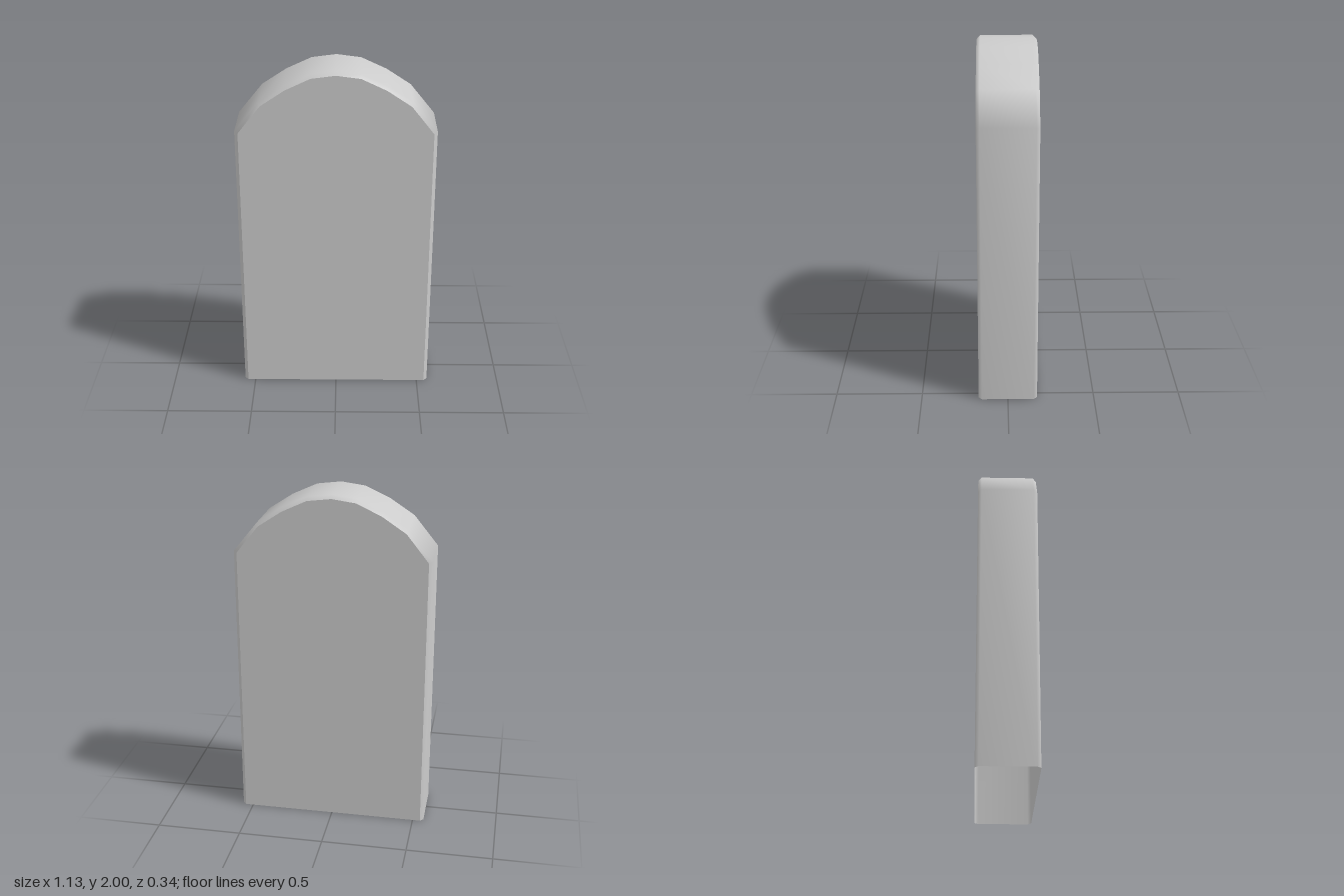
import * as THREE from 'three';

const HALF_DEPTH = 0.17;
const BEVEL = 0.02;

// Right half of an arched outline, from the foot to just before the crown
function outline(half, crown) {
  const right = half.map(([x, y]) => new THREE.Vector2(x, y));
  const left = right.map((p) => new THREE.Vector2(-p.x, p.y)).reverse();
  return [...right, new THREE.Vector2(0, crown), ...left];
}

const outer = outline([[0.565, 0], [0.565, 1.65], [0.425, 1.823], [0.285, 1.915], [0.14, 1.982]], 2);
const inner = outline([[0.545, 0], [0.545, 1.643], [0.418, 1.803], [0.28, 1.895], [0.138, 1.962]], 1.98);

// Smooth band with chamfered rims, skinned over four outlines along z
function bandGeometry() {
  const rings = [
    [inner, -HALF_DEPTH],
    [outer, -HALF_DEPTH + BEVEL],
    [outer, HALF_DEPTH - BEVEL],
    [inner, HALF_DEPTH],
  ];
  const n = outer.length;
  const positions = [];
  const indices = [];
  for (const [points, z] of rings) {
    for (const p of points) positions.push(p.x, p.y, z);
  }
  for (let j = 0; j < rings.length - 1; j++) {
    for (let i = 0; i < n - 1; i++) {
      const a = j * n + i;
      const b = a + 1;
      indices.push(a, b, b + n, a, b + n, a + n);
    }
  }
  const geometry = new THREE.BufferGeometry();
  geometry.setAttribute('position', new THREE.Float32BufferAttribute(positions, 3));
  geometry.setIndex(indices);
  geometry.computeVertexNormals();
  return geometry;
}

export function createModel() {
  const group = new THREE.Group();
  group.name = 'archedSlab';
  const material = new THREE.MeshStandardMaterial({ color: 0xcccccc, side: THREE.DoubleSide });

  // Side walls and arched top; the underside stays open
  const band = new THREE.Mesh(bandGeometry(), material);
  band.name = 'archedRim';
  group.add(band);

  // Flat front and back faces
  const faceGeometry = new THREE.ShapeGeometry(new THREE.Shape(inner));
  for (const [name, side] of [['frontFace', 1], ['backFace', -1]]) {
    const face = new THREE.Mesh(faceGeometry, material);
    face.name = name;
    face.position.z = side * HALF_DEPTH;
    if (side < 0) face.rotation.y = Math.PI;
    group.add(face);
  }
  return group;
}
